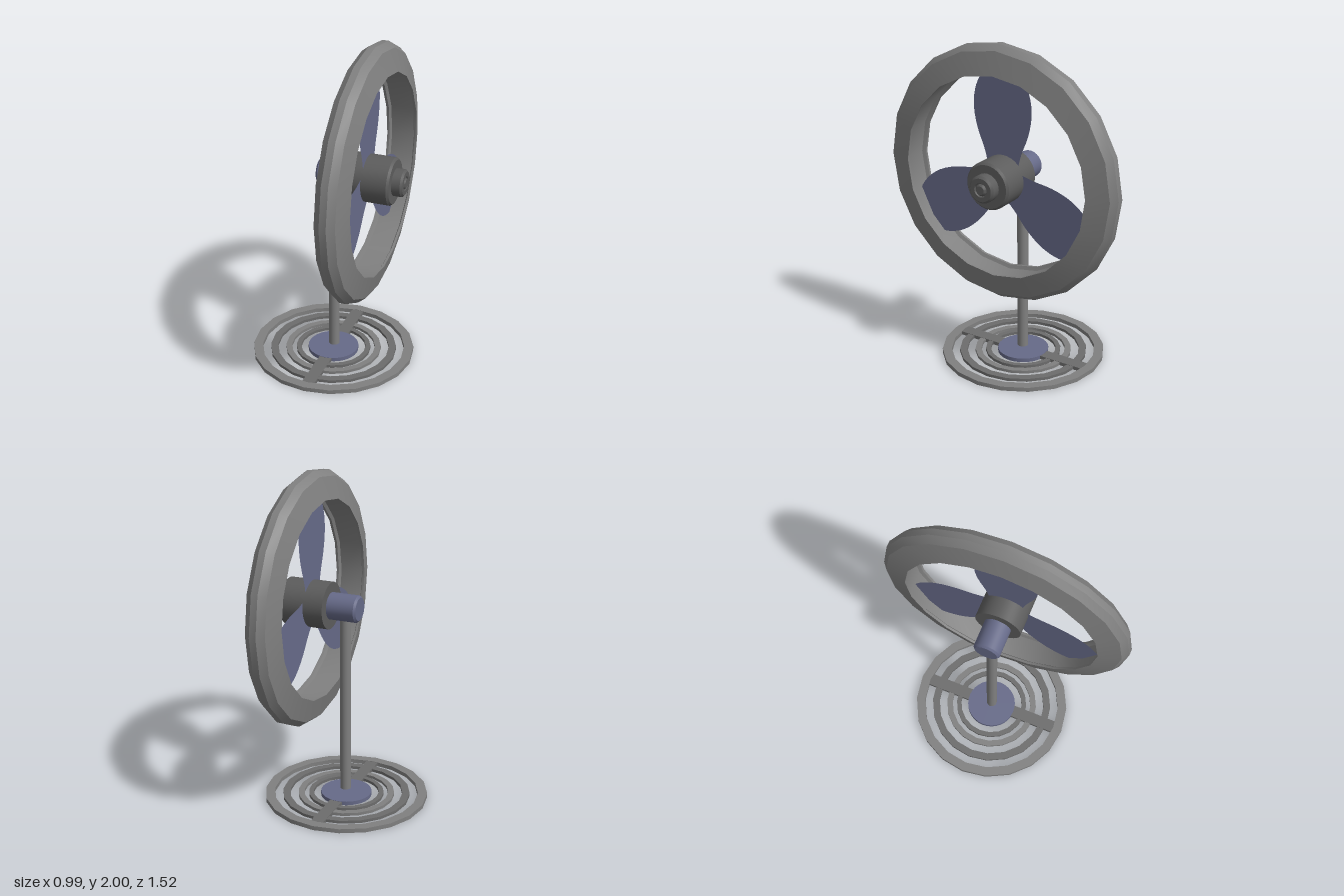
import * as THREE from 'three';
import { toCreasedNormals } from 'three/addons/utils/BufferGeometryUtils.js';

const grey = new THREE.MeshStandardMaterial({ color: 0x808080 });
const midGrey = new THREE.MeshStandardMaterial({ color: 0x6c6c6c });
const darkGrey = new THREE.MeshStandardMaterial({ color: 0x5c5c5c });
const blue = new THREE.MeshStandardMaterial({ color: 0x666a88 });
const blueThin = new THREE.MeshStandardMaterial({ color: 0x666a88, side: THREE.DoubleSide });

const AXLE_Y = 1.21;

// Revolved part from [radius, height] pairs, smooth around and sharp at profile corners
function turned(points, segments) {
  const profile = points.map(([r, h]) => new THREE.Vector2(r, h));
  return toCreasedNormals(new THREE.LatheGeometry(profile, segments), 0.45);
}

// Same, but revolved around the x axis
const turnedX = (points, segments) => turned(points, segments).rotateZ(-Math.PI / 2);

// Petal-shaped blade pointing up, almost flat to the plane of rotation
function bladeGeometry() {
  const outline = new THREE.CatmullRomCurve3([
    [0.08, 0.1], [0.16, 0.122], [0.28, 0.168], [0.4, 0.19], [0.5, 0.18],
    [0.58, 0.148], [0.63, 0.105], [0.655, 0.06], [0.663, 0.002],
  ].map(([r, w]) => new THREE.Vector3(w, r, 0)));
  const geometry = new THREE.PlaneGeometry(2, 1, 8, 24);
  const pos = geometry.attributes.position;
  const pitch = 0.02;
  for (let i = 0; i < pos.count; i++) {
    const p = outline.getPoint(pos.getY(i) + 0.5);
    const across = pos.getX(i) * p.x;
    pos.setXYZ(i, Math.sin(pitch) * across, p.y, Math.cos(pitch) * across);
  }
  geometry.computeVertexNormals();
  return geometry;
}

export function createModel() {
  const model = new THREE.Group();
  const add = (name, geometry, material, x = 0, y = 0, z = 0) => {
    const mesh = new THREE.Mesh(geometry, material);
    mesh.name = name;
    mesh.position.set(x, y, z);
    model.add(mesh);
    return mesh;
  };

  // Base: concentric flat rings, a cross bar and a centre disc
  for (const [inner, outer, bottom, top, material] of [
    [0.44, 0.497, 0, 0.026, grey], [0.345, 0.39, 0.004, 0.022, midGrey],
    [0.258, 0.295, 0.004, 0.022, grey], [0.2, 0.23, 0.004, 0.022, midGrey],
  ]) {
    add('baseRing', turned(
      [[inner, bottom], [outer, bottom], [outer, top], [inner, top], [inner, bottom]], 20), material);
  }
  add('baseBar', new THREE.BoxGeometry(0.076, 0.022, 0.88), midGrey, 0.004, 0.013);
  add('baseDisc', new THREE.CylinderGeometry(0.155, 0.155, 0.024, 32), blue, 0, 0.014);

  // Pole and motor
  add('pole', new THREE.CylinderGeometry(0.033, 0.033, 1.1, 20), grey, 0.005, 0.595);
  add('motor', turnedX(
    [[0, -0.085], [0.069, -0.085], [0.081, -0.073], [0.081, 0.11], [0, 0.11]], 32), blue, 0, AXLE_Y);

  // Hub either side of the blades, with a stepped nose
  add('hub', turnedX([
    [0, 0.095], [0.141, 0.095], [0.141, 0.365], [0.129, 0.378], [0.081, 0.378],
    [0.081, 0.428], [0.069, 0.44], [0.042, 0.44], [0.036, 0.433], [0.03, 0.44],
    [0.025, 0.445], [0, 0.445],
  ], 32), darkGrey, 0, AXLE_Y);

  // Three blades
  const blade = bladeGeometry();
  for (let i = 0; i < 3; i++) {
    add('blade', blade, blueThin, 0.215, AXLE_Y).rotation.x = (i * Math.PI * 2) / 3;
  }

  // Guard ring: tapered outside, inside with a narrow lip along each edge
  add('guardRing', turnedX([
    [0.597, 0.095], [0.597, 0.08], [0.617, 0.07], [0.617, -0.07], [0.597, -0.08], [0.597, -0.095],
    [0.73, -0.06], [0.762, -0.02], [0.762, 0.02], [0.73, 0.06], [0.597, 0.095],
  ], 20), grey, 0.224, 1.238);

  return model;
}
